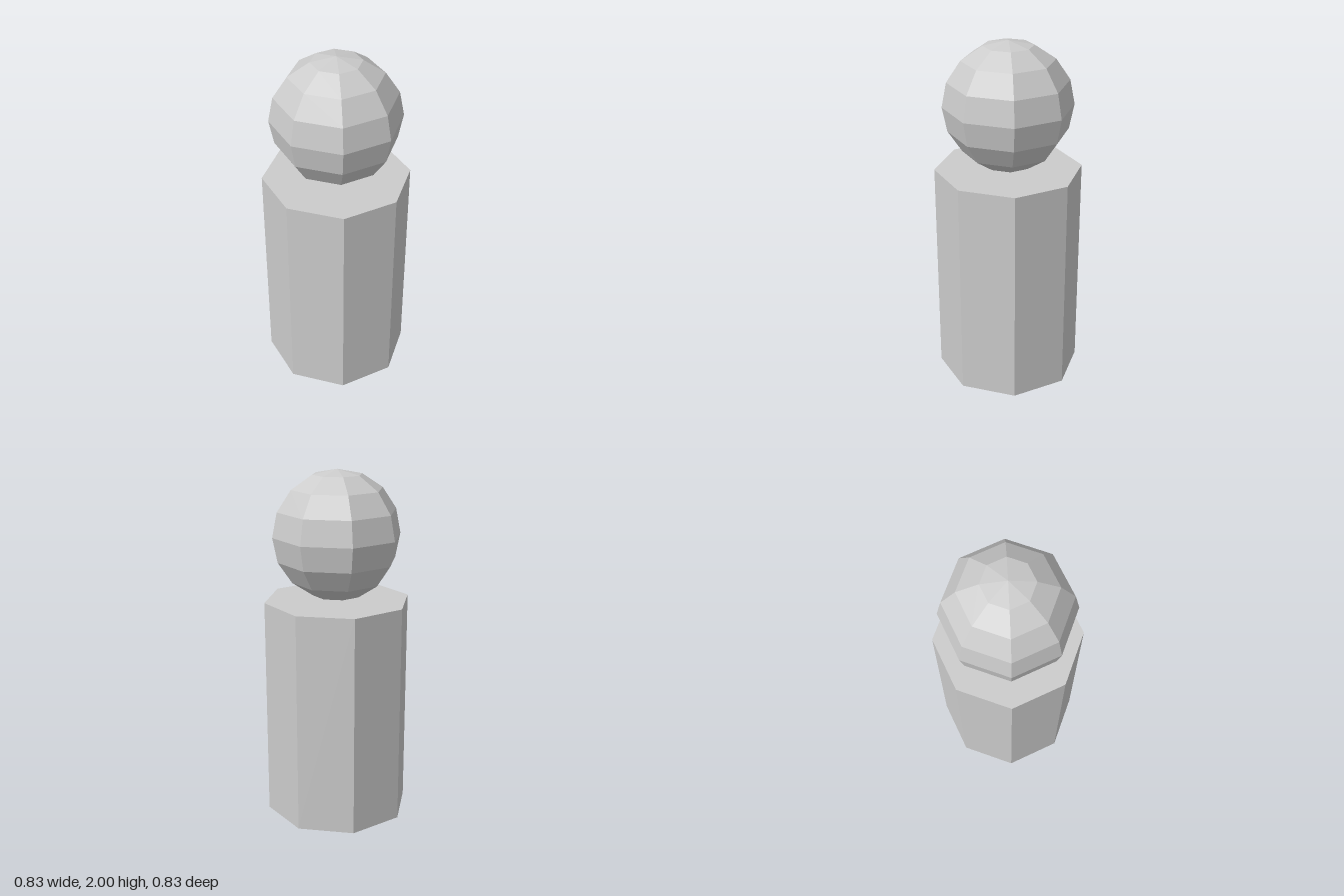
import * as THREE from 'three';

export function createModel() {
  const model = new THREE.Group();
  const material = new THREE.MeshStandardMaterial({ color: 0xcccccc, flatShading: true });
  const bodyHeight = 1.27;
  const headRadius = 0.365;

  const addPart = (name, geometry, y) => {
    const mesh = new THREE.Mesh(geometry, material);
    mesh.name = name;
    mesh.position.y = y;
    model.add(mesh);
  };

  // Octagonal column body, corners on the axes
  addPart('body', new THREE.CylinderGeometry(0.417, 0.417, bodyHeight, 8), bodyHeight / 2);

  // Faceted ball head resting on the body
  addPart('head', new THREE.SphereGeometry(headRadius, 8, 8), bodyHeight + headRadius);

  return model;
}
